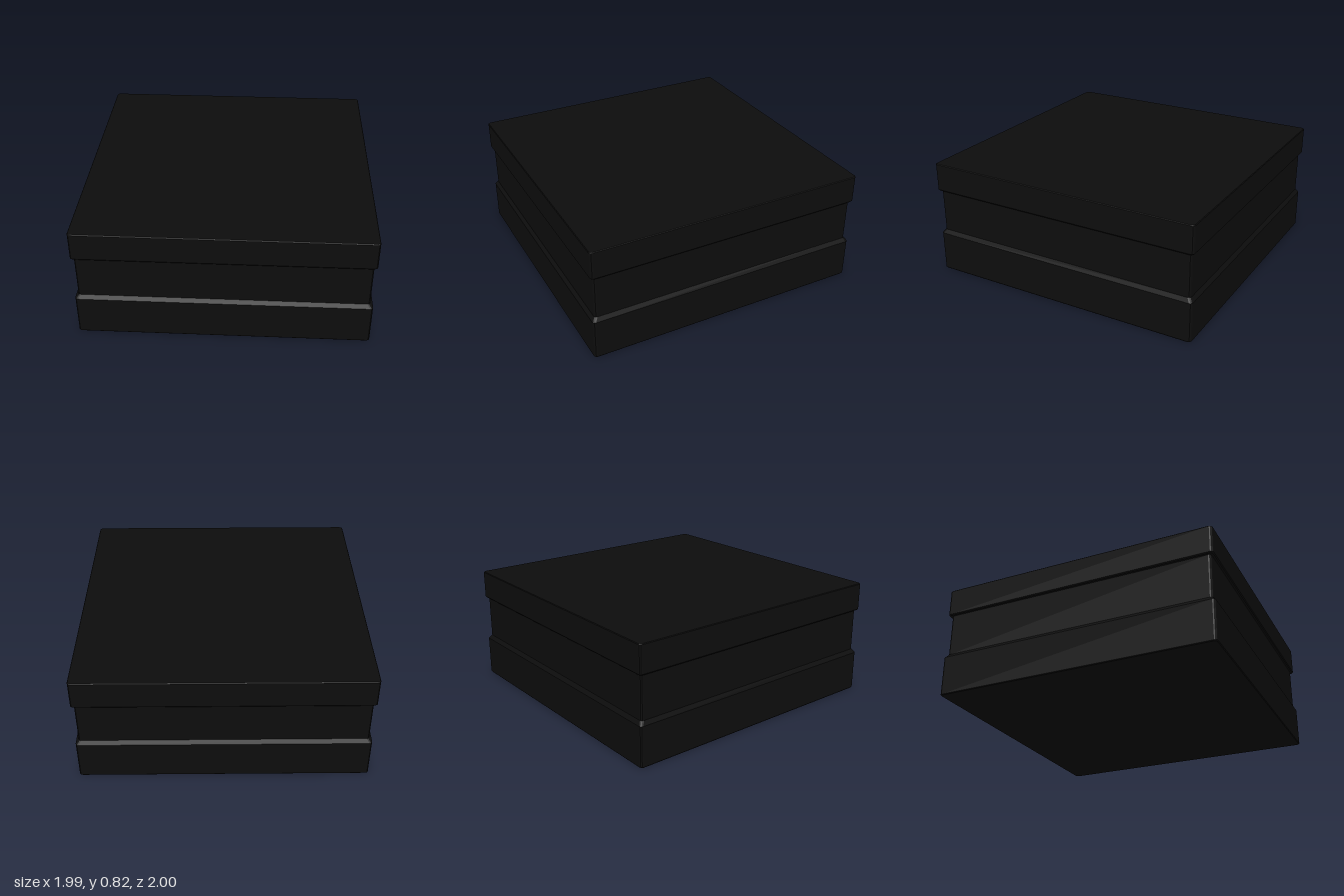
import * as THREE from 'three';

const material = new THREE.MeshStandardMaterial({ color: 0x0d0d0d, flatShading: true });

// Square outline with small rounded corners, counterclockwise from above
function ring([y, hx, hz], steps = 3) {
  const r = 0.02, points = [];
  const corners = [[1, 1], [1, -1], [-1, -1], [-1, 1]];
  corners.forEach(([sx, sz], k) => {
    for (let i = 0; i <= steps; i++) {
      const a = (k + i / steps) * Math.PI / 2;
      points.push(new THREE.Vector3(
        sx * (hx - r) + r * Math.sin(a), y, sz * (hz - r) + r * Math.cos(a)));
    }
  });
  return points;
}

// Stack of outlines [y, halfWidth, halfDepth], joined by walls, with optional caps
function stack(name, levels, capBottom, capTop) {
  const rings = levels.map(l => ring(l));
  const n = rings[0].length, tris = [];
  for (let j = 0; j < rings.length - 1; j++) {
    for (let i = 0; i < n; i++) {
      const k = (i + 1) % n, lo = rings[j], hi = rings[j + 1];
      tris.push(lo[i], lo[k], hi[k], lo[i], hi[k], hi[i]);
    }
  }
  const first = rings[0], last = rings[rings.length - 1];
  for (let i = 1; i < n - 1; i++) {
    if (capBottom) tris.push(first[0], first[i + 1], first[i]);
    if (capTop) tris.push(last[0], last[i], last[i + 1]);
  }
  const geometry = new THREE.BufferGeometry().setFromPoints(tris);
  geometry.computeVertexNormals();
  const mesh = new THREE.Mesh(geometry, material);
  mesh.name = name;
  return mesh;
}

export function createModel() {
  const group = new THREE.Group();
  group.name = 'liddedBox';
  const W = 0.997, D = 1, w = 0.977, d = 0.98;

  // Base with a sloped shoulder
  const base = stack('base', [
    [0, W - 0.005, D - 0.005], [0.006, W, D], [0.285, W, D], [0.312, w, d],
  ], true, false);

  // Recessed band between base and lid
  const waist = stack('waist', [[0.312, w, d], [0.618, w, d]], false, false);
  base.position.x = waist.position.x = -0.003;

  // Overhanging lid
  const lid = stack('lid', [
    [0.618, w, d], [0.618, W - 0.006, D - 0.006], [0.626, W, D], [0.815, W, D], [0.82, W - 0.004, D - 0.004],
  ], false, true);
  lid.position.x = -0.003;

  group.add(base, waist, lid);
  return group;
}
